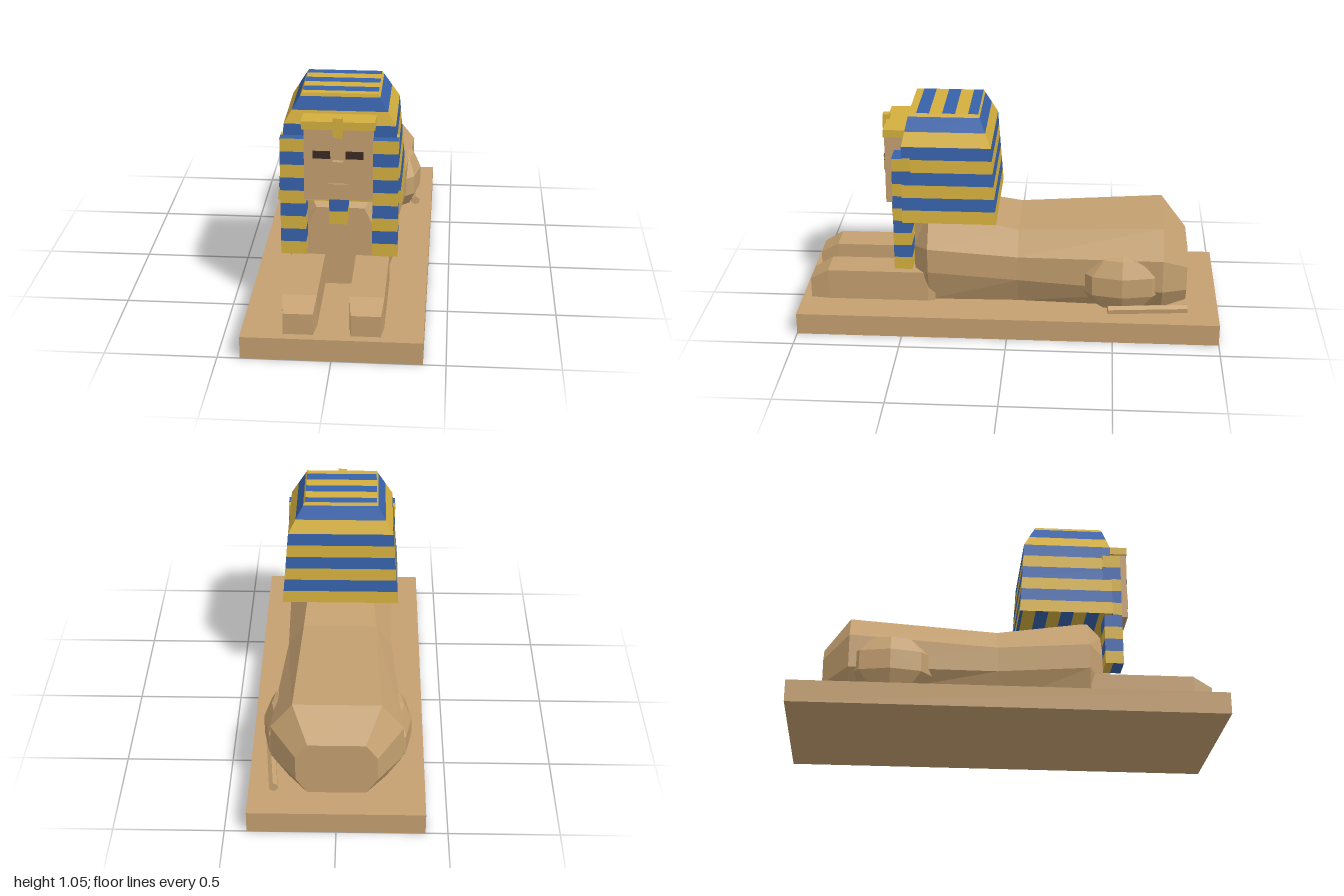
import * as THREE from 'three';

const material = (name, color) => {
  const m = new THREE.MeshStandardMaterial({ color });
  m.name = name;
  return m;
};

// Flat-shaded geometry from a list of corner points, three per triangle
function facets(points) {
  const g = new THREE.BufferGeometry();
  g.setAttribute('position', new THREE.Float32BufferAttribute(points.flat(), 3));
  g.computeVertexNormals();
  return g;
}
const quad = (a, b, c, d) => [a, b, c, a, c, d];

// Skin closed rings (counter-clockwise seen from +z), ordered front to back
function loft(rings) {
  const out = [];
  const n = rings[0].length;
  for (let s = 0; s < rings.length - 1; s++) {
    const f = rings[s], b = rings[s + 1];
    for (let i = 0; i < n; i++) {
      const j = (i + 1) % n;
      out.push(...quad(f[i], b[i], b[j], f[j]));
    }
  }
  const first = rings[0], last = rings[rings.length - 1];
  for (let i = 1; i < n - 1; i++) {
    out.push(first[0], first[i], first[i + 1], last[0], last[i + 1], last[i]);
  }
  return facets(out);
}

// Cloth block from levels [y, x0, x1, z0, z1]: sides banded in height, caps in depth
function stripedBlock(name, levels, step, mats) {
  const corners = ([y, x0, x1, z0, z1]) => [[x0, y, z1], [x1, y, z1], [x1, y, z0], [x0, y, z0]];
  const at = (y) => {
    let k = 0;
    while (k < levels.length - 2 && y > levels[k + 1][0]) k++;
    const a = levels[k], b = levels[k + 1], t = (y - a[0]) / (b[0] - a[0]);
    return a.map((v, i) => v + (b[i] - v) * t);
  };
  const bands = [[], []];
  const y0 = levels[0][0], y1 = levels[levels.length - 1][0];
  for (let i = 0; y0 + i * step < y1 - 0.002; i++) {
    const lo = corners(at(y0 + i * step));
    const hi = corners(at(Math.min(y1, y0 + (i + 1) * step)));
    for (let c = 0; c < 4; c++) {
      const d = (c + 1) % 4;
      bands[i % 2].push(...quad(lo[c], lo[d], hi[d], hi[c]));
    }
  }
  const capStep = 0.06, capStart = 0.01;
  for (const y of [y0, y1]) {
    const [, x0, x1, z0, z1] = at(y);
    for (let k = 0; capStart + k * capStep < z1; k++) {
      const a = Math.max(z0, capStart + k * capStep);
      const b = Math.min(z1, capStart + (k + 1) * capStep);
      if (b <= a) continue;
      const q = corners([y, x0, x1, a, b]);
      if (y === y0) q.reverse();
      bands[(k + 1) % 2].push(...quad(...q));
    }
  }
  const group = new THREE.Group();
  group.name = name;
  bands.forEach((p, i) => {
    const mesh = new THREE.Mesh(facets(p), mats[i]);
    mesh.name = name + (i ? 'BlueStripes' : 'GoldStripes');
    group.add(mesh);
  });
  return group;
}

export function createModel() {
  const model = new THREE.Group();
  model.name = 'sphinxStatue';
  const sand = material('sandstone', 0xc4a070);
  const gold = material('gold', 0xd4af3e);
  const blue = material('blue', 0x3762ab);
  const dark = material('darkEyes', 0x3a2a22);

  const add = (name, geometry, mat) => {
    const mesh = new THREE.Mesh(geometry, mat);
    mesh.name = name;
    model.add(mesh);
    return mesh;
  };
  const box = (name, mat, x0, x1, y0, y1, z0, z1) => {
    const mesh = add(name, new THREE.BoxGeometry(x1 - x0, y1 - y0, z1 - z0), mat);
    mesh.position.set((x0 + x1) / 2, (y0 + y1) / 2, (z0 + z1) / 2);
    return mesh;
  };

  box('plinth', sand, -0.4, 0.4, 0, 0.104, -1, 1);

  // Body: eight-sided sections [z, top x, top y, side x, upper y, lower y, bottom x]
  const sections = [
    [0.455, 0.11, 0.49, 0.165, 0.37, 0.23, 0.14],
    [0.385, 0.15, 0.545, 0.255, 0.39, 0.27, 0.2],
    [-0.045, 0.175, 0.47, 0.25, 0.36, 0.24, 0.19],
    [-0.73, 0.2, 0.505, 0.3, 0.38, 0.22, 0.22],
    [-0.85, 0.13, 0.37, 0.185, 0.3, 0.18, 0.13],
  ];
  add('body', loft(sections.map(([z, tx, ty, sx, uy, ly, bx]) => [
    [bx, 0.1, z], [sx, ly, z], [sx, uy, z], [tx, ty, z],
    [-tx, ty, z], [-sx, uy, z], [-sx, ly, z], [-bx, 0.1, z],
  ])), sand);

  for (const side of [1, -1]) {
    const label = side > 0 ? 'left' : 'right';

    // Foreleg with sloped paw, sections [z, half width, top]
    const cx = 0.148 * side;
    add(label + 'Foreleg', loft([
      [0.957, 0.066, 0.203], [0.87, 0.077, 0.253], [0.39, 0.077, 0.253], [0.355, 0.066, 0.203],
    ].map(([z, w, top]) => [
      [cx - w, 0.1, z], [cx + w, 0.1, z], [cx + w, top, z], [cx - w, top, z],
    ])), sand);

    // Faceted haunch
    const ball = new THREE.SphereGeometry(1, 8, 5).toNonIndexed();
    ball.scale(0.1, 0.153, 0.21);
    ball.computeVertexNormals();
    add(label + 'Haunch', ball, sand).position.set(0.245 * side, 0.25, -0.54);

    // Hanging side flap of the headdress
    const x0 = side > 0 ? 0.15 : -0.265, x1 = x0 + 0.115;
    model.add(stripedBlock(label + 'Lappet', [
      [0.292, x0, x1, 0.455, 0.54], [0.855, x0, x1, 0.455, 0.54],
    ], 0.0626, [gold, blue]));

    // Eye
    box(label + 'Eye', dark, 0.0735 * side - 0.039, 0.0735 * side + 0.039, 0.785, 0.819, 0.585, 0.594);
  }

  // Tail lying on the plinth
  const from = new THREE.Vector3(0.285, 0.13, -0.85);
  const to = new THREE.Vector3(0.32, 0.13, -0.475);
  const rod = new THREE.CylinderGeometry(0.022, 0.022, from.distanceTo(to), 6).toNonIndexed();
  rod.computeVertexNormals();
  const tail = add('tail', rod, sand);
  tail.position.copy(from).add(to).multiplyScalar(0.5);
  tail.quaternion.setFromUnitVectors(new THREE.Vector3(0, 1, 0), to.clone().sub(from).normalize());

  // Headdress
  model.add(stripedBlock('headdress', [
    [0.54, -0.281, 0.281, 0.056, 0.495],
    [0.909, -0.25, 0.25, 0.08, 0.495],
    [1.047, -0.17, 0.17, 0.143, 0.465],
  ], 0.0615, [gold, blue]));

  // Face and ornaments
  box('face', sand, -0.152, 0.152, 0.587, 0.925, 0.3, 0.586);
  box('nose', sand, -0.024, 0.024, 0.7, 0.777, 0.57, 0.61);
  box('mouth', sand, -0.046, 0.046, 0.649, 0.665, 0.57, 0.595);
  box('headband', gold, -0.163, 0.163, 0.92, 0.957, 0.45, 0.59);
  box('browOrnament', gold, -0.021, 0.021, 0.89, 0.981, 0.578, 0.61);
  box('beardUpper', blue, -0.041, 0.041, 0.525, 0.587, 0.496, 0.576);
  box('beardLower', gold, -0.041, 0.041, 0.463, 0.525, 0.496, 0.576);

  return model;
}
